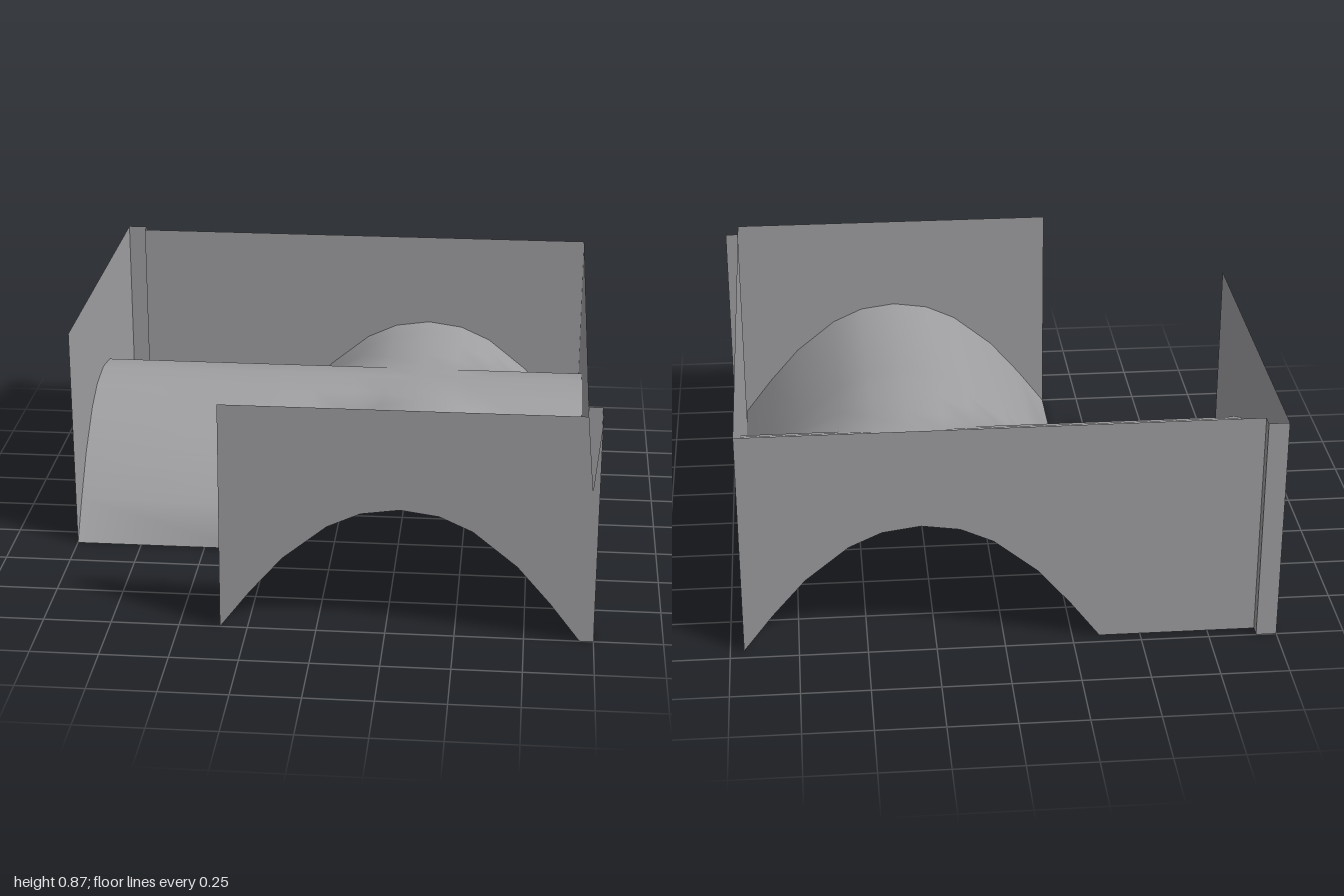
import * as THREE from 'three';

export function createModel() {
  const group = new THREE.Group();
  const grey = new THREE.MeshStandardMaterial({ color: 0x9f9fa2, side: THREE.DoubleSide });
  grey.name = 'stone grey';
  const H = 0.87;

  // Arch profile: offset from the arch centre, and height
  const half = [[-0.65, 0], [-0.54, 0.145], [-0.42, 0.285], [-0.26, 0.415], [-0.14, 0.47]];
  const arch = [...half, [0, 0.49], ...half.map(([d, h]) => [-d, h]).reverse()];
  const CX = 0.3, CZ = -0.305;
  const archAt = c => arch.map(([d, h]) => [c + d, h]);

  function add(name, geometry) {
    const mesh = new THREE.Mesh(geometry, grey);
    mesh.name = name;
    group.add(mesh);
    return mesh;
  }

  // Flat panel facing z, or facing x when the outline runs along z
  function panel(name, axis, at, points) {
    const shape = new THREE.Shape(points.map(p => new THREE.Vector2(...p)));
    const mesh = add(name, new THREE.ShapeGeometry(shape));
    if (axis === 'x') mesh.rotation.y = -Math.PI / 2;
    mesh.position[axis] = at;
    return mesh;
  }
  const strip = (a, b) => [[a, 0], [b, 0], [b, H], [a, H]];

  // Two crossing barrel vaults: the higher one wins, with groins on the diagonals
  const n = arch.length;
  const xs = [-1, ...arch.map(p => CX + p[0])];
  const zs = [...arch.map(p => CZ + p[0]), 1];
  const rise = k => (arch[k] ? arch[k][1] : 0);
  const pos = [], index = [];
  for (let i = 0; i <= n; i++) {
    for (let j = 0; j <= n; j++) pos.push(xs[i], Math.max(rise(i - 1), rise(j)), zs[j]);
  }
  for (let i = 0; i < n; i++) {
    for (let j = 0; j < n; j++) {
      if (i === 0 && j === n - 1) continue; // open outer corner
      const a = i * (n + 1) + j, b = a + 1, d = a + n + 1, c = d + 1;
      if (i - 1 + j === n - 2) index.push(a, b, d, b, c, d);
      else index.push(a, b, c, a, c, d);
    }
  }
  const vault = new THREE.BufferGeometry();
  vault.setAttribute('position', new THREE.Float32BufferAttribute(pos, 3));
  vault.setIndex(index);
  vault.computeVertexNormals();
  add('crossVault', vault);

  // Four arched walls; the front one has a narrow split beside the corner post
  panel('frontWall', 'z', 1, [[-0.35, 0], ...archAt(CX).slice(1), [1, 0], [1, 0.85],
    [0.975, 0.59], [0.95, H], [-0.345, H]]);
  panel('backWall', 'z', -0.955, [[-0.925, 0], ...archAt(CX), [0.95, H], [-0.925, H]]);
  panel('rightWall', 'x', 0.95, [...archAt(CZ), [0.91, 0], [0.91, H], [-0.955, H]]);
  panel('leftWall', 'x', -1, [[-1, 0], ...archAt(CZ), [0.345, H], [-1, H]]);

  // Hollow corner posts with closed feet
  function foot(name, x0, x1, z0, z1) {
    const g = new THREE.PlaneGeometry(x1 - x0, z1 - z0).rotateX(-Math.PI / 2);
    add(name, g).position.set((x0 + x1) / 2, 0, (z0 + z1) / 2);
  }
  panel('frontPostSide', 'x', 1, strip(0.91, 1));
  panel('frontPostReturn', 'z', 0.91, strip(0.95, 1));
  foot('frontPostFoot', 0.95, 1, 0.91, 1);
  panel('backPostFace', 'z', -1, strip(-1, -0.925));
  panel('backPostReturn', 'x', -0.925, strip(-1, -0.955));
  foot('backPostFoot', -1, -0.925, -1, -0.955);

  return group;
}
